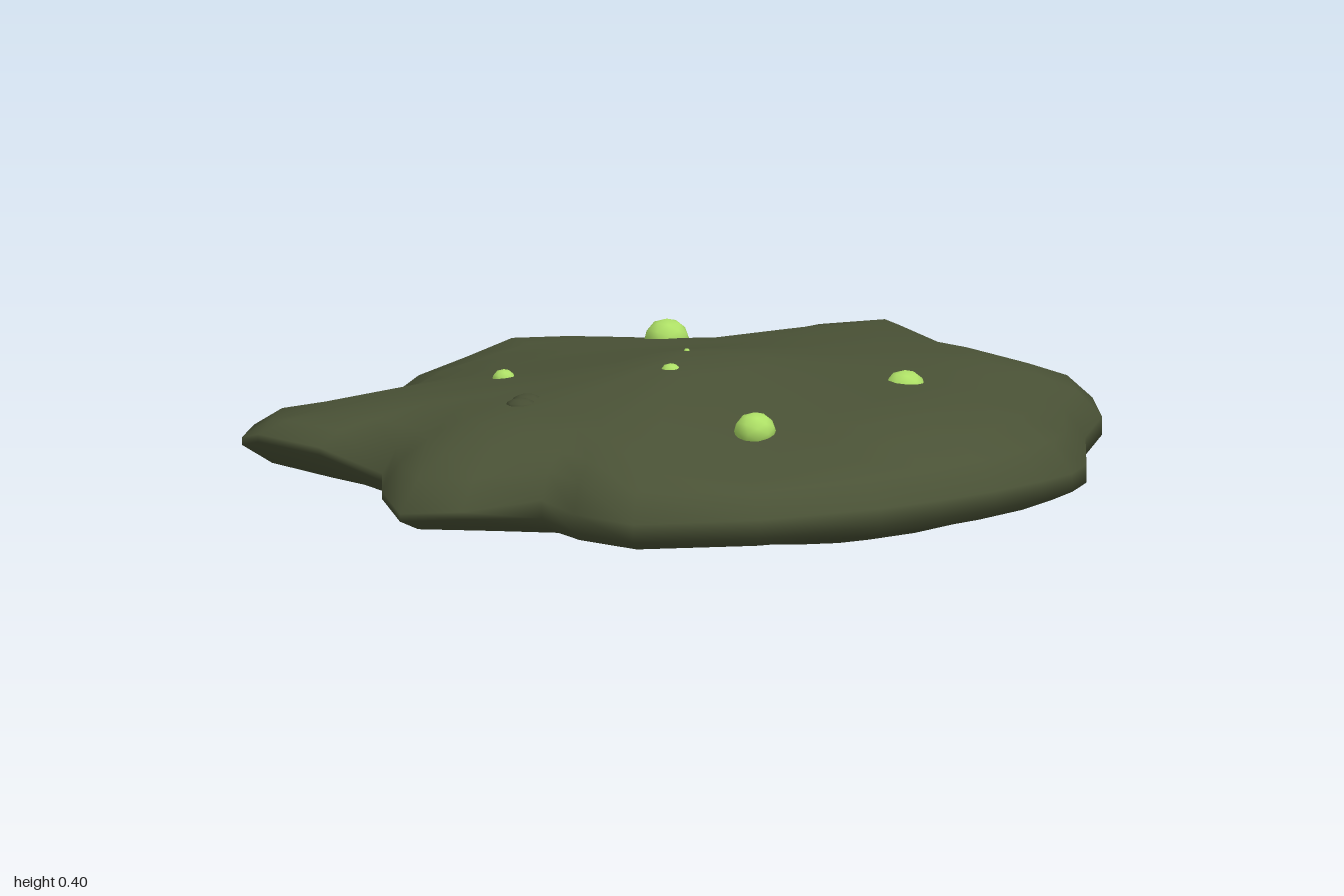
import * as THREE from 'three';

// Rim of the slab: x, z, height, going from +x round by the front
const RIM = [
  [1.0, .27, .195], [.93, .39, .165], [.78, .51, .155], [.61, .72, .145], [.5, .8, .15], [.34, .88, .165],
  [.17, .915, .17], [0, .915, .17], [-.17, .9, .17], [-.46, .8, .165], [-.71, .635, .16], [-.74, .45, .16],
  [-.755, .35, .18], [-.92, .25, .17], [-1, .12, .155], [-.94, -.02, .18], [-.84, -.14, .19], [-.9, -.3, .235],
  [-.96, -.455, .25], [-.89, -.6, .21], [-.775, -.695, .21], [-.4, -.71, .16], [-.16, -.885, .17],
  [0, -.89, .21], [.17, -.92, .245], [.32, -.88, .23], [.46, -.82, .21], [.6, -.62, .2], [.9, -.59, .225],
  [1.0, -.45, .255], [.96, -.18, .22], [.99, 0, .2],
];
// Ring size and share of the full rise (top) or drop (underside)
const TOP = [[.95, .3], [.87, .49], [.75, .68], [.6, .73], [.4, .8], [.2, .91]];
const UNDER = [[.2, 1], [.4, .93], [.6, .78], [.75, .58], [.87, .42], [.95, .27]];

// Half thickness of the rim: blunt in front, sharp elsewhere
const edge = (z) => (z > .3 ? .022 : .009);

// Rim height, evened out towards the middle so that notches cut no furrows
const level = (p, t) => THREE.MathUtils.lerp(.19, p[2], t ** 3);

const bump = (x, z, cx, cz, spread) => Math.exp(-((x - cx) ** 2 + (z - cz) ** 2) / spread);

// Inner rings become rounder, so the notches stay near the rim
function plan([x, z], t) {
  const r = Math.hypot(x, z);
  const k = t * THREE.MathUtils.lerp(.88, r, t * t) / r;
  return [x * k, z * k];
}

function bodyGeometry() {
  const pos = [], index = [], n = RIM.length;
  pos.push(0, .022, 0);
  for (const [t, g] of UNDER) for (const p of RIM) {
    const [x, z] = plan(p, t), low = level(p, t) - edge(p[1]), fade = Math.min(1, (1 - t) * 4);
    const shift = .03 * Math.max(0, -z) - .04 * bump(x, z, .15, .45, .12);
    pos.push(x, low - (low - .03) * g + shift * fade, z);
  }
  for (const s of [-1, 1]) for (const p of RIM) pos.push(p[0], p[2] + s * edge(p[1]), p[1]);
  for (const [t, f] of TOP) for (const p of RIM) {
    const [x, z] = plan(p, t), high = level(p, t) + edge(p[1]), fade = Math.min(1, (1 - t) * 5);
    const drop = .08 * Math.max(0, -z) + .065 * bump(x, z, -.35, .64, .06);
    pos.push(x, high + (.405 - high) * f - drop * fade, z);
  }
  pos.push(0, .405, 0);

  const rings = UNDER.length + TOP.length + 2, last = 1 + rings * n;
  for (let i = 0; i < n; i++) {
    const j = (i + 1) % n;
    index.push(0, 1 + i, 1 + j);
    for (let r = 0; r < rings - 1; r++) {
      const a = 1 + r * n, b = a + n;
      index.push(a + i, b + i, b + j, a + i, b + j, a + j);
    }
    index.push(last - n + i, last, last - n + j);
  }
  const g = new THREE.BufferGeometry();
  g.setAttribute('position', new THREE.Float32BufferAttribute(pos, 3));
  g.setIndex(index);
  g.computeVertexNormals();
  return g;
}

export function createModel() {
  const group = new THREE.Group();
  const moss = new THREE.MeshStandardMaterial({ name: 'darkMoss', color: 0x4a5236 });
  const lime = new THREE.MeshStandardMaterial({ name: 'limeGreen', color: 0xaee066 });
  const stone = new THREE.MeshStandardMaterial({ name: 'darkOlive', color: 0x464d33 });

  const body = new THREE.Mesh(bodyGeometry(), moss);
  body.name = 'slab';
  group.add(body);

  // Sets a small lump into the upper surface, sunk by a share of its radius
  const ray = new THREE.Raycaster();
  function place(name, geometry, material, x, z, r, squash, sink) {
    ray.set(new THREE.Vector3(x, 2, z), new THREE.Vector3(0, -1, 0));
    const m = new THREE.Mesh(geometry, material);
    m.name = name;
    m.position.set(x, ray.intersectObject(body)[0].point.y - sink * r, z);
    m.scale.set(r, r * squash, r);
    group.add(m);
  }

  // Green bubbles
  const ball = new THREE.IcosahedronGeometry(1, 1);
  for (const [x, z, r, sink] of [[.4, -.585, .053, 0], [.33, .385, .05, .4], [-.225, .5, .05, -.1],
    [-.31, -.33, .028, .2], [-.12, .06, .026, .5], [.02, -.05, .007, 0]]) {
    place('bubble', ball, lime, x, z, r, .9, sink);
  }

  // Pair of pebbles
  const pebble = new THREE.SphereGeometry(1, 7, 6);
  for (const [x, z] of [[-.525, -.005], [-.485, -.03]]) place('pebble', pebble, stone, x, z, .038, .5, .2);
  return group;
}
